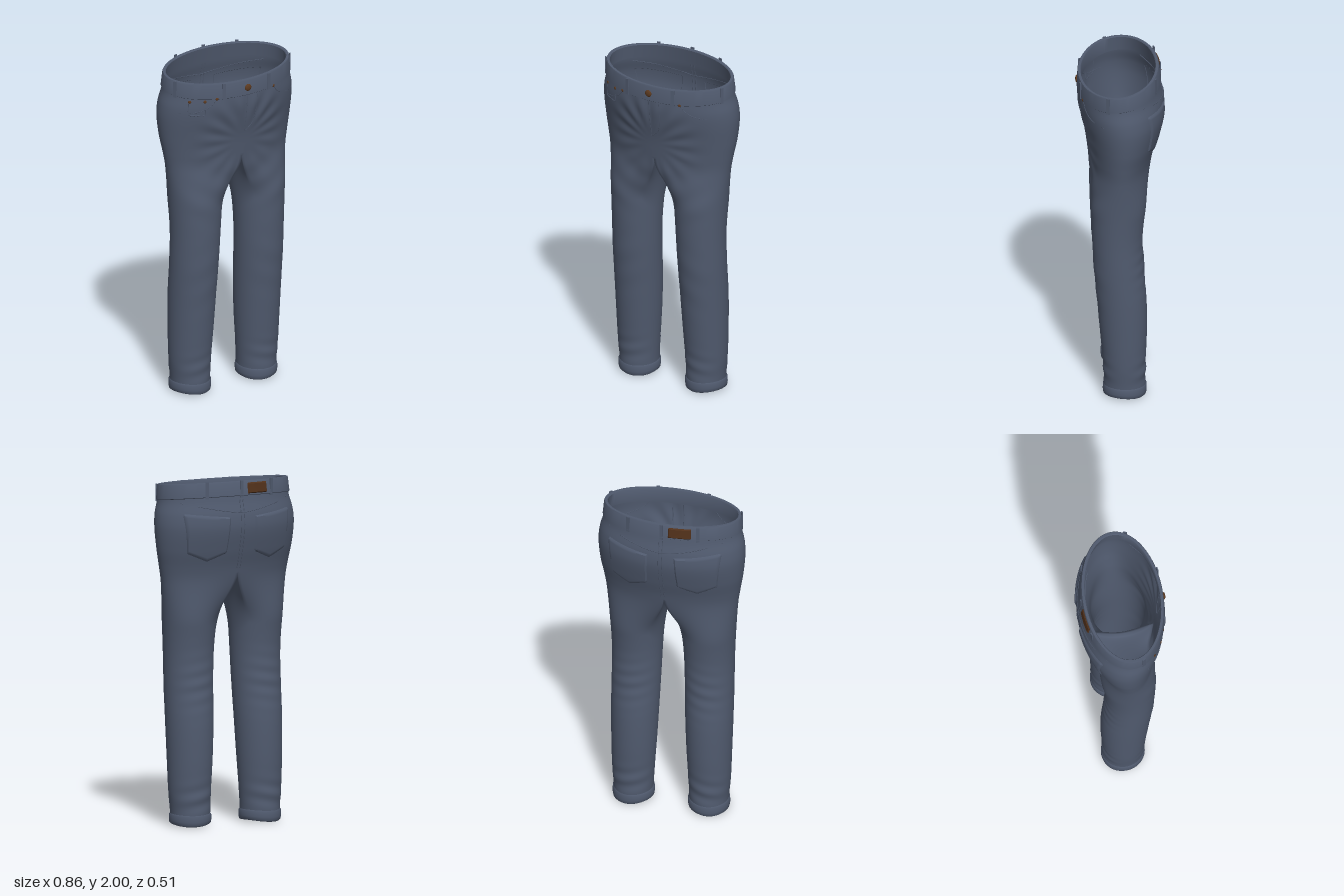
import * as THREE from 'three';
import { mergeGeometries, mergeVertices, toCreasedNormals } from 'three/addons/utils/BufferGeometryUtils.js';

const mat = (name, color, side = THREE.FrontSide) => {
  const m = new THREE.MeshStandardMaterial({ color, side });
  m.name = name;
  return m;
};

// Profile rows: height, outer x, inner leg x, front z, back z
const ROWS = [
  [0, 0.338, 0.110, 0.097, -0.140], [0.08, 0.338, 0.110, 0.098, -0.140], [0.2, 0.348, 0.104, 0.103, -0.141],
  [0.4, 0.354, 0.092, 0.120, -0.148], [0.6, 0.358, 0.083, 0.137, -0.146], [0.8, 0.359, 0.076, 0.155, -0.130],
  [1.0, 0.360, 0.068, 0.165, -0.124], [1.2, 0.370, 0.055, 0.171, -0.145], [1.4, 0.388, 0.048, 0.180, -0.175],
  [1.5, 0.404, 0.045, 0.189, -0.195], [1.6, 0.421, 0.045, 0.203, -0.224], [1.72, 0.431, 0.045, 0.228, -0.250],
  [1.8, 0.425, 0.045, 0.240, -0.248], [1.88, 0.405, 0.045, 0.240, -0.230], [2.0, 0.394, 0.045, 0.234, -0.212],
];

// Smooth interpolation of the profile at a height
function section(y) {
  let i = 0;
  while (i < ROWS.length - 2 && y > ROWS[i + 1][0]) i++;
  const A = ROWS[i], B = ROWS[i + 1], P = ROWS[Math.max(i - 1, 0)], N = ROWS[Math.min(i + 2, ROWS.length - 1)];
  const h = B[0] - A[0], t = Math.min(Math.max((y - A[0]) / h, 0), 1);
  const [w, inner, front, back] = [1, 2, 3, 4].map((k) => {
    const m0 = (B[k] - P[k]) / (B[0] - P[0]) * h, m1 = (N[k] - A[k]) / (N[0] - A[0]) * h;
    return A[k] * (2 * t ** 3 - 3 * t * t + 1) + m0 * (t ** 3 - 2 * t * t + t) + B[k] * (3 * t * t - 2 * t ** 3) + m1 * (t ** 3 - t * t);
  });
  return { w, inner, c: (front + back) / 2, rz: (front - back) / 2 };
}

// Soft cloth folds, as a relative change in depth
const bell = (v, mid, width) => Math.exp(-(((v - mid) / width) ** 2));
function fold(x, y, z) {
  const f = Math.max(0, z) / 0.2, b = Math.max(0, -z) / 0.15, ax = Math.abs(x);
  const r = Math.hypot(ax, y - 1.57), th = Math.atan2(y - 1.57, ax);
  return 0.022 * b * bell(y, 0.83, 0.13) * Math.sin(y * 75 + ax * 12)
    + 0.03 * bell(y, 0.16, 0.08) * Math.sin(y * 65 + x * 14)
    + 0.014 * f * bell(y, 1.27, 0.16) * Math.sin(y * 38 - ax * 22)
    + 0.012 * f * bell(y, 0.7, 0.2) * Math.sin(y * 36 + ax * 15)
    + 0.018 * f * bell(r, 0.22, 0.09) * Math.sin(th * 15);
}
const cloth = (x, y, z) => new THREE.Vector3(x, y, z * (1 + fold(x, y, z)));

// Surface grid from a function of (u, v); u runs round, v runs up
function grid(fn, nu, nv, flip = false) {
  const pos = [], idx = [];
  for (let j = 0; j <= nv; j++) for (let i = 0; i <= nu; i++) pos.push(...fn(i / nu, j / nv).toArray());
  for (let j = 0; j < nv; j++) for (let i = 0; i < nu; i++) {
    const a = j * (nu + 1) + i, b = a + 1, c = a + nu + 1, d = c + 1;
    idx.push(...(flip ? [a, b, c, b, d, c] : [a, c, b, b, c, d]));
  }
  const g = new THREE.BufferGeometry();
  g.setAttribute('position', new THREE.Float32BufferAttribute(pos, 3));
  g.setIndex(idx);
  return g;
}
function smooth(g) {
  const m = mergeVertices(g, 1e-4);
  m.computeVertexNormals();
  return m;
}
const creased = (g) => toCreasedNormals(smooth(g), 0.7);

const A0 = 0.72 * Math.PI, RING = 1.47, TAU = Math.PI * 2;

// Seat: half ellipse from front centre round to back centre
function hipPoint(t, y) {
  const s = section(y);
  return cloth(Math.max(0, s.w * Math.cos(t)), y, s.c + s.rz * Math.sin(t));
}
// Leg: an ellipse that opens into the seat and the crotch saddle
function legPoint(u, v) {
  const a = (u - 0.5) * TAU, abs = Math.abs(a), isInner = abs > A0 + 1e-6;
  const q = isInner ? (Math.PI - abs) / (Math.PI - A0) : 1;
  const y = 0.04 + v * (1.365 + (RING - 1.365) * q * q - 0.04);
  const s = section(y), cx = (s.w + s.inner) / 2, rx = (s.w - s.inner) / 2;
  const k = Math.max(0, (v - 0.78) / 0.22), ease = k * k * (3 - 2 * k), arch = 1 - Math.sqrt(Math.max(0, 1 - k * k));
  const m = ease + (arch - ease) * (1 - q * q), t = a / A0 * Math.PI / 2;
  const dx = isInner ? 0 : s.w * Math.cos(t), dz = isInner ? Math.sign(a) * q : Math.sin(t);
  const x = (cx + rx * Math.cos(a)) * (1 - m) + dx * m;
  return cloth(Math.max(0, x), y, s.c + s.rz * (Math.sin(a) * (1 - m) + dz * m));
}
const bandBase = (t) => 1.883 - 0.028 * Math.sin(t);

// Height of the seat surface above or below the z axis, pushed out by off
function onHip(x, y, side, off = 0) {
  const s = section(y), c = Math.sqrt(Math.max(0, 1 - (x / s.w) ** 2));
  const p = cloth(x, y, s.c + side * s.rz * c);
  const n = new THREE.Vector3(x / s.w ** 2, 0, side * c / s.rz).normalize();
  return p.addScaledVector(n, off);
}

export function createModel() {
  const model = new THREE.Group();
  model.name = 'trousers';
  const denim = mat('denim', 0x505a6e, THREE.DoubleSide);
  const leather = mat('brownLeather', 0x50301a);
  const copper = mat('copper', 0x5c3a20);
  const add = (name, geo, m = denim) => {
    const mesh = new THREE.Mesh(geo, m);
    mesh.name = name;
    model.add(mesh);
    return mesh;
  };

  // Legs and seat, one welded shell
  const halves = [];
  for (const sx of [1, -1]) {
    const mirror = (p) => p.setX(p.x * sx);
    halves.push(grid((u, v) => mirror(legPoint(u, v)), 100, 110, sx < 0));
    halves.push(grid((u, v) => {
      const t = (u - 0.5) * Math.PI;
      return mirror(hipPoint(t, RING + v * (bandBase(t) + 0.02 - RING)));
    }, 72, 44, sx < 0));
  }
  add('legsAndSeat', smooth(mergeGeometries(halves)));

  // Waistband: slanted ring with thickness
  const band = [[0.001, 0], [0.007, 0.004], [0.007, 0.083], [0.004, 0.09], [-0.01, 0.09], [-0.014, 0.085], [-0.014, 0], [0, 0]];
  const bandPoint = (t, off, h) => {
    const s = section(1.885 + h);
    return new THREE.Vector3((s.w + off) * Math.cos(t), bandBase(t) + h + 0.006 * h / 0.09 * Math.sin(t), s.c + (s.rz + off) * Math.sin(t));
  };
  add('waistband', creased(grid((u, v) => bandPoint(u * TAU, ...band[Math.round(v * 7)]), 96, 7)));

  // Turned hems
  const hem = [[-0.022, 0.09], [-0.022, 0.015], [-0.014, 0.004], [-0.004, 0.003], [0.004, 0.01], [0.007, 0.03], [0.006, 0.062], [-0.002, 0.072]];
  for (const sx of [1, -1]) {
    add(sx > 0 ? 'leftHem' : 'rightHem', smooth(grid((u, v) => {
      const a = u * TAU, [off, h] = hem[Math.round(v * 7)], s = section(h);
      const y = h + 0.006 * (1 + Math.sin(a * 2 + 0.8)) * (1 - h / 0.12);
      return new THREE.Vector3(sx * ((s.w + s.inner) / 2 + ((s.w - s.inner) / 2 + off) * Math.cos(a)), y, s.c + (s.rz + off) * Math.sin(a));
    }, 56, 7, sx < 0)));
  }

  // Belt loops
  const loopAt = [1.19, Math.PI - 1.19, 0.3, Math.PI - 0.3, -1.04, Math.PI + 1.04, -Math.PI / 2];
  for (const t of loopAt) {
    const loop = add('beltLoop', new THREE.BoxGeometry(0.02, 0.098, 0.007));
    loop.position.copy(bandPoint(t, 0.009, 0.043));
    loop.rotation.y = Math.atan2(Math.cos(t) / 0.4, Math.sin(t) / 0.23);
  }

  // Back pockets: raised panels with a pointed lower edge
  for (const sx of [1, -1]) {
    add(sx > 0 ? 'leftBackPocket' : 'rightBackPocket', creased(grid((u, v) => {
      const rim = u === 0 || u === 1 || v === 0 || v === 1;
      const x = 0.075 + 0.012 * (1 - v) + u * (0.225 + 0.04 * v);
      const low = 1.535 + 0.05 * Math.abs(u - 0.5) * 2, high = 1.795 + 0.025 * u;
      return onHip(sx * x, low + (high - low) * v, -1, rim ? -0.002 : 0.008);
    }, 22, 22, sx < 0)));
  }

  // Stitched seams as fine cords
  const seam = (name, pts, side) => {
    const path = new THREE.CatmullRomCurve3(pts.map(([x, y]) => onHip(x, y, side, 0.0005)));
    add(name, new THREE.TubeGeometry(path, 28, 0.0025, 5));
  };
  seam('flySeam', [[0.065, 1.85], [0.064, 1.75], [0.05, 1.67], [0.002, 1.62]], 1);
  seam('frontSeam', [[0, 1.85], [0, 1.75], [0, 1.62]], 1);
  for (const x of [-0.008, 0.012]) seam('backSeam', [[x, 1.89], [x, 1.75], [x, 1.6], [x, 1.49]], -1);
  for (const s of [1, -1]) {
    seam('yokeSeam', [[0, 1.815], [s * 0.1, 1.828], [s * 0.22, 1.85], [s * 0.34, 1.875]], -1);
    seam('frontPocketSeam', [[s * 0.19, 1.86], [s * 0.23, 1.815], [s * 0.3, 1.785], [s * 0.385, 1.775]], 1);
  }
  seam('coinPocketSeam', [[-0.335, 1.845], [-0.335, 1.77], [-0.3, 1.766], [-0.255, 1.766], [-0.255, 1.81]], 1);

  // Leather patch on the back of the waistband
  const patch = (u) => -Math.PI / 2 - 0.09 - (1 - u) * 0.35;
  add('leatherPatch', creased(grid((u, v) => {
    const rim = u === 0 || u === 1 || v === 0 || v === 1;
    return bandPoint(patch(u), rim ? 0.005 : 0.014, 0.01 + v * 0.07);
  }, 14, 8)), leather);

  // Button and rivets
  const stud = (name, r, p, nx, nz) => {
    const m = add(name, new THREE.SphereGeometry(r, 20, 12), copper);
    m.scale.z = 0.4;
    m.position.copy(p);
    m.rotation.y = Math.atan2(nx, nz);
  };
  stud('waistButton', 0.021, bandPoint(Math.PI / 2, 0.009, 0.045), 0, 1);
  for (const [x, y] of [[-0.33, 1.85], [-0.255, 1.85], [-0.19, 1.862], [0.19, 1.862]]) {
    const p = onHip(x, y, 1, 0.004);
    stud('rivet', 0.009, p, x / 0.17, p.z / 0.058);
  }
  return model;
}
